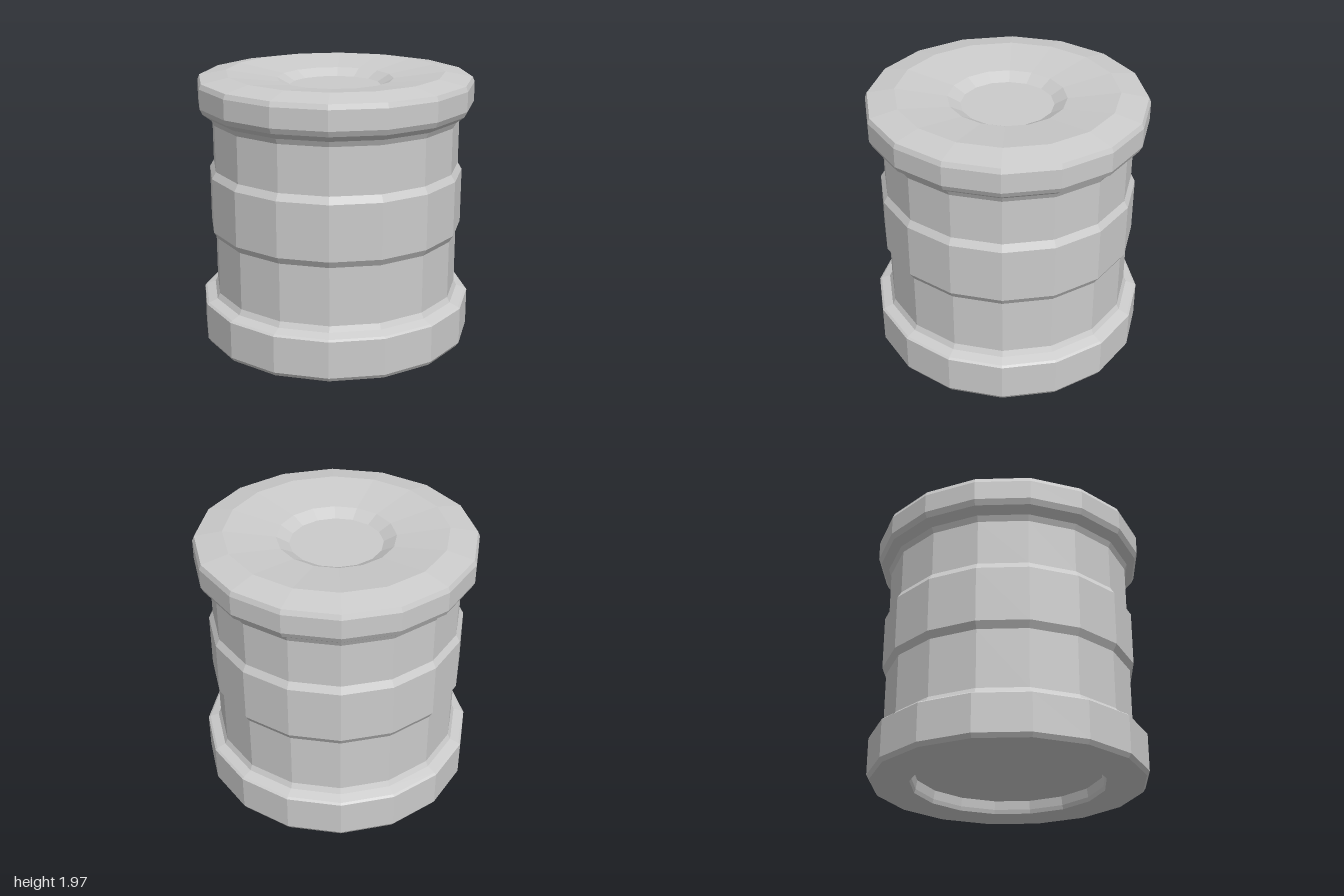
import * as THREE from 'three';

const SIDES = 16;

// Each profile lists [radius, height] going up the outside; neighbouring parts share a ring.
const profiles = {
  // recessed underside, bottom bevel, wide foot and its sloped shoulder
  baseFlange: [[0, 0.095], [0.68, 0.095], [0.69, 0.03], [0.70, 0], [0.98, 0], [1, 0.03],
    [1, 0.3], [0.985, 0.312], [0.92, 0.335], [0.9, 0.375]],
  // straight barrel with a raised band around the middle
  barrel: [[0.9, 0.375], [0.9, 0.8], [0.93, 0.85], [0.93, 1.25], [0.9, 1.3], [0.9, 1.635]],
  // overhanging rim with a bevelled edge
  topFlange: [[0.9, 1.635], [0.92, 1.675], [0.98, 1.72], [1, 1.76], [1, 1.9], [0.985, 1.935], [0.79, 1.97]],
  // shallow dish with a small sunken centre
  topDish: [[0.79, 1.97], [0.42, 1.92], [0.33, 1.87], [0, 1.87]],
};

export function createModel() {
  const group = new THREE.Group();
  group.name = 'barrel pedestal';
  const material = new THREE.MeshStandardMaterial({ color: 0xcccccc, flatShading: true });
  for (const [name, profile] of Object.entries(profiles)) {
    const points = profile.map(([r, y]) => new THREE.Vector2(r, y));
    const mesh = new THREE.Mesh(new THREE.LatheGeometry(points, SIDES), material);
    mesh.name = name;
    group.add(mesh);
  }
  return group;
}
